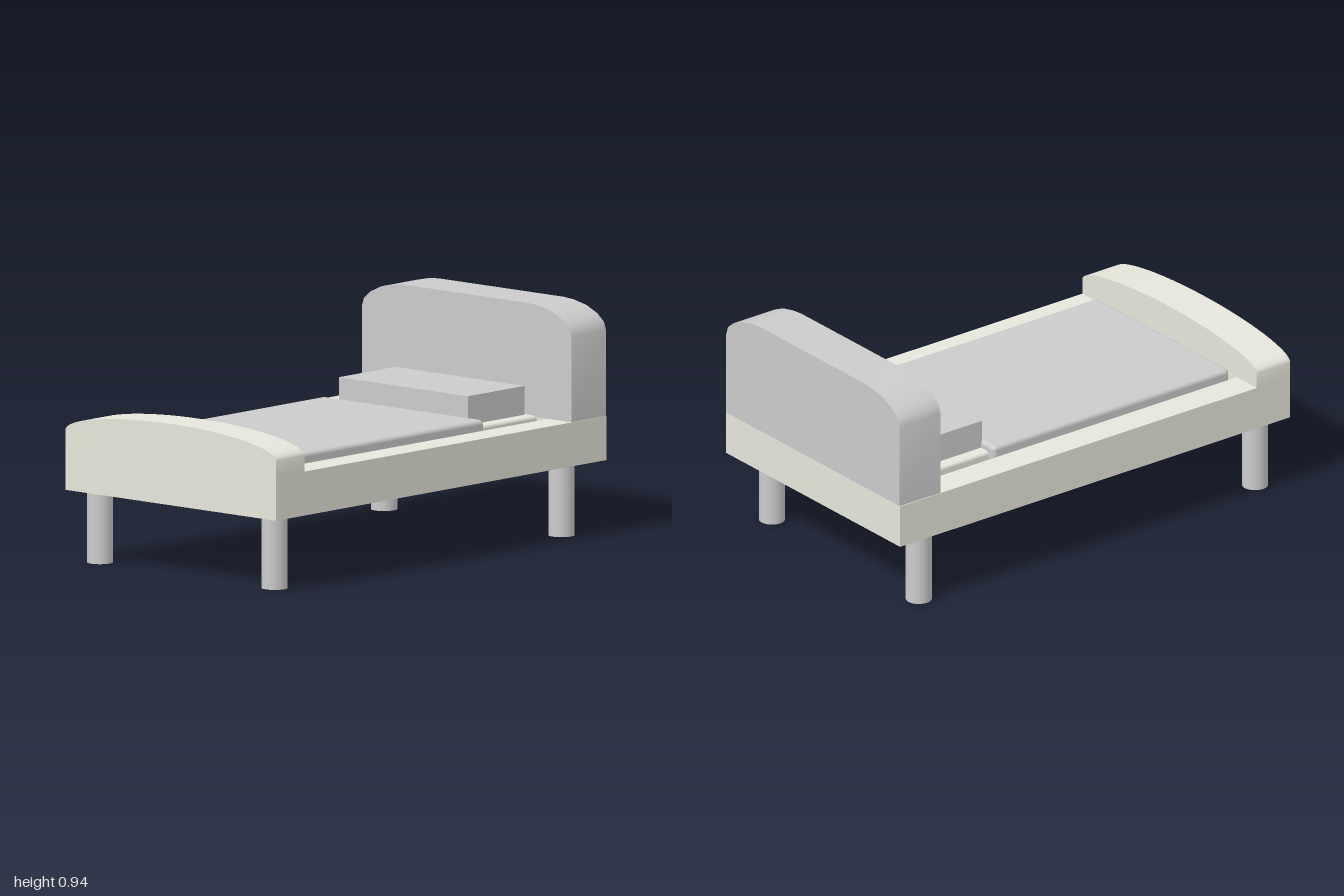
import * as THREE from 'three';
import { toCreasedNormals } from 'three/addons/utils/BufferGeometryUtils.js';
import { RoundedBoxGeometry } from 'three/addons/geometries/RoundedBoxGeometry.js';

const grey = new THREE.MeshStandardMaterial({ color: 0xcccccc });
const cream = new THREE.MeshStandardMaterial({ color: 0xe6e6dc });

export function createModel() {
  const bed = new THREE.Group();
  bed.name = 'bed';

  const add = (name, geometry, material, x = 0, y = 0, z = 0) => {
    const mesh = new THREE.Mesh(geometry, material);
    mesh.name = name;
    mesh.position.set(x, y, z);
    bed.add(mesh);
    return mesh;
  };

  // Place a block by its extents: half width, then y and z ranges
  const block = (name, halfX, y0, y1, z0, z1, material, radius = 0) => {
    const size = [halfX * 2, y1 - y0, z1 - z0];
    const geometry = radius
      ? new RoundedBoxGeometry(...size, 3, radius)
      : new THREE.BoxGeometry(...size);
    return add(name, geometry, material, 0, (y0 + y1) / 2, (z0 + z1) / 2);
  };

  // Symmetrical end board: the right half outline runs from the side up to the middle
  const endBoard = (name, half, z0, z1, material) => {
    const left = half.filter(([x]) => x > 0).reverse().map(([x, y]) => [-x, y]);
    const outline = [...half, ...left].map(([x, y]) => new THREE.Vector2(x, y));
    const geometry = new THREE.ExtrudeGeometry(new THREE.Shape(outline), {
      depth: z1 - z0, bevelEnabled: false,
    });
    return add(name, toCreasedNormals(geometry, 0.6), material, 0, 0, z0);
  };

  // Frame with a well for the mattress
  const rim = new THREE.Shape([
    new THREE.Vector2(-0.57, -1), new THREE.Vector2(0.57, -1),
    new THREE.Vector2(0.57, 1), new THREE.Vector2(-0.57, 1),
  ]);
  rim.holes.push(new THREE.Path([
    new THREE.Vector2(-0.44, -0.825), new THREE.Vector2(-0.44, 0.795),
    new THREE.Vector2(0.44, 0.795), new THREE.Vector2(0.44, -0.825),
  ]));
  const rails = new THREE.ExtrudeGeometry(rim, { depth: 0.18, bevelEnabled: false });
  rails.rotateX(-Math.PI / 2);
  add('frame', rails, cream, 0, 0.3, 0);
  block('base', 0.44, 0.3, 0.38, -0.795, 0.825, cream);

  // Bedding
  block('mattress', 0.4, 0.37, 0.492, -0.775, 0.805, cream, 0.015);
  block('blanket', 0.435, 0.43, 0.523, -0.413, 0.797, grey, 0.018);
  block('pillow', 0.35, 0.488, 0.61, -0.748, -0.408, grey);

  // Headboard with rounded shoulders
  endBoard('headboard', [
    [0.567, 0.48], [0.567, 0.83], [0.556, 0.864], [0.52, 0.895],
    [0.462, 0.922], [0.395, 0.937], [0.34, 0.942],
  ], -1, -0.79, grey);

  // Footboard with a shallow elliptical top
  const arch = [[0.57, 0.48]];
  for (let i = 0; i <= 16; i++) {
    const a = (i / 16) * Math.PI / 2;
    arch.push([i === 16 ? 0 : 0.57 * Math.cos(a), 0.545 + 0.088 * Math.sin(a)]);
  }
  endBoard('footboard', arch, 0.828, 1, cream);

  // Legs
  for (const [name, x, z] of [
    ['frontLeftLeg', 0.462, 0.888], ['frontRightLeg', -0.483, 0.888],
    ['backLeftLeg', 0.462, -0.848], ['backRightLeg', -0.498, -0.848],
  ]) {
    add(name, new THREE.CylinderGeometry(0.053, 0.053, 0.3, 32), grey, x, 0.15, z);
  }

  return bed;
}
